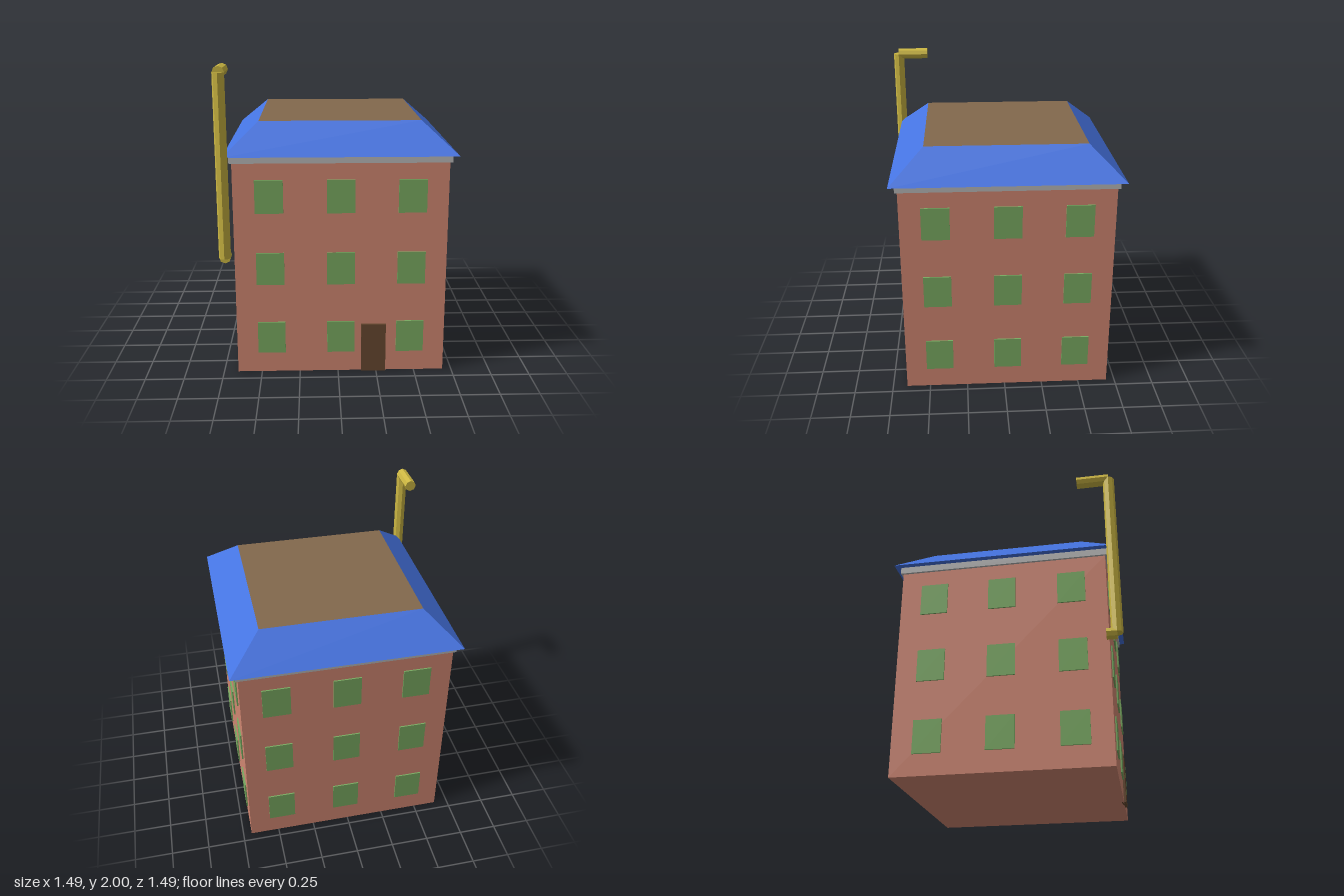
import * as THREE from 'three';

const CX = 0.018, CZ = -0.02; // centre of the house
const HALF = 0.675; // half width of the walls

function mat(name, color) {
  const m = new THREE.MeshStandardMaterial({ color, flatShading: true });
  m.name = name;
  return m;
}

function add(parent, name, geometry, material, x = 0, y = 0, z = 0) {
  const mesh = new THREE.Mesh(geometry, material);
  mesh.name = name;
  mesh.position.set(x, y, z);
  parent.add(mesh);
  return mesh;
}

export function createModel() {
  const brick = mat('brick', 0xd08671);
  const green = mat('window green', 0x79aa61);
  const brown = mat('door brown', 0x66482f);
  const grey = mat('trim grey', 0xb8b8b8);
  const blue = mat('roof blue', 0x4573e0);
  const tan = mat('roof deck brown', 0x82694c);
  const yellow = mat('pipe yellow', 0xccb742);

  const model = new THREE.Group();
  model.name = 'house';

  const house = new THREE.Group();
  house.name = 'building';
  house.position.set(CX, 0, CZ);
  model.add(house);

  // Walls and the trim under the eaves
  add(house, 'walls', new THREE.BoxGeometry(HALF * 2, 1.405, HALF * 2), brick, 0, 0.7025, 0);
  add(house, 'trim', new THREE.BoxGeometry(1.38, 0.045, 1.38), grey, 0, 1.4275, 0);

  // Four-sided hipped roof with a flat deck: groups are sides, top, bottom
  const roof = new THREE.CylinderGeometry(0.513 * Math.SQRT2, 0.727 * Math.SQRT2, 0.19, 4);
  roof.rotateY(Math.PI / 4);
  add(house, 'roof', roof, [blue, tan, blue], 0, 1.545, 0);

  // Three rows of three windows on each wall
  const pane = new THREE.BoxGeometry(0.178, 0.214, 0.018);
  ['front', 'left', 'back', 'right'].forEach((side, i) => {
    const wall = new THREE.Group();
    wall.name = side + 'Windows';
    wall.rotation.y = i * Math.PI / 2;
    house.add(wall);
    for (const y of [0.244, 0.717, 1.191]) {
      for (const x of [-0.45, 0, 0.45]) add(wall, 'window', pane, green, x, y, HALF);
    }
  });

  // Front door
  add(house, 'door', new THREE.BoxGeometry(0.16, 0.33, 0.03), brown, 0.231 - CX, 0.165, HALF);

  // Eight-sided pipe at the front corner: riser, upper arm and lower stub
  const pipe = new THREE.Group();
  pipe.name = 'pipe';
  pipe.position.set(-0.71, 0, 0.706);
  model.add(pipe);
  const tube = (length) => new THREE.CylinderGeometry(0.0375, 0.0375, length, 8);
  add(pipe, 'riser', tube(1.15), yellow, 0, 1.3875, 0);
  add(pipe, 'upperArm', tube(0.211).rotateX(Math.PI / 2), yellow, 0, 1.9625, -0.1055);
  add(pipe, 'lowerStub', tube(0.065).rotateX(Math.PI / 2), yellow, 0, 0.8125, -0.0325);

  return model;
}
